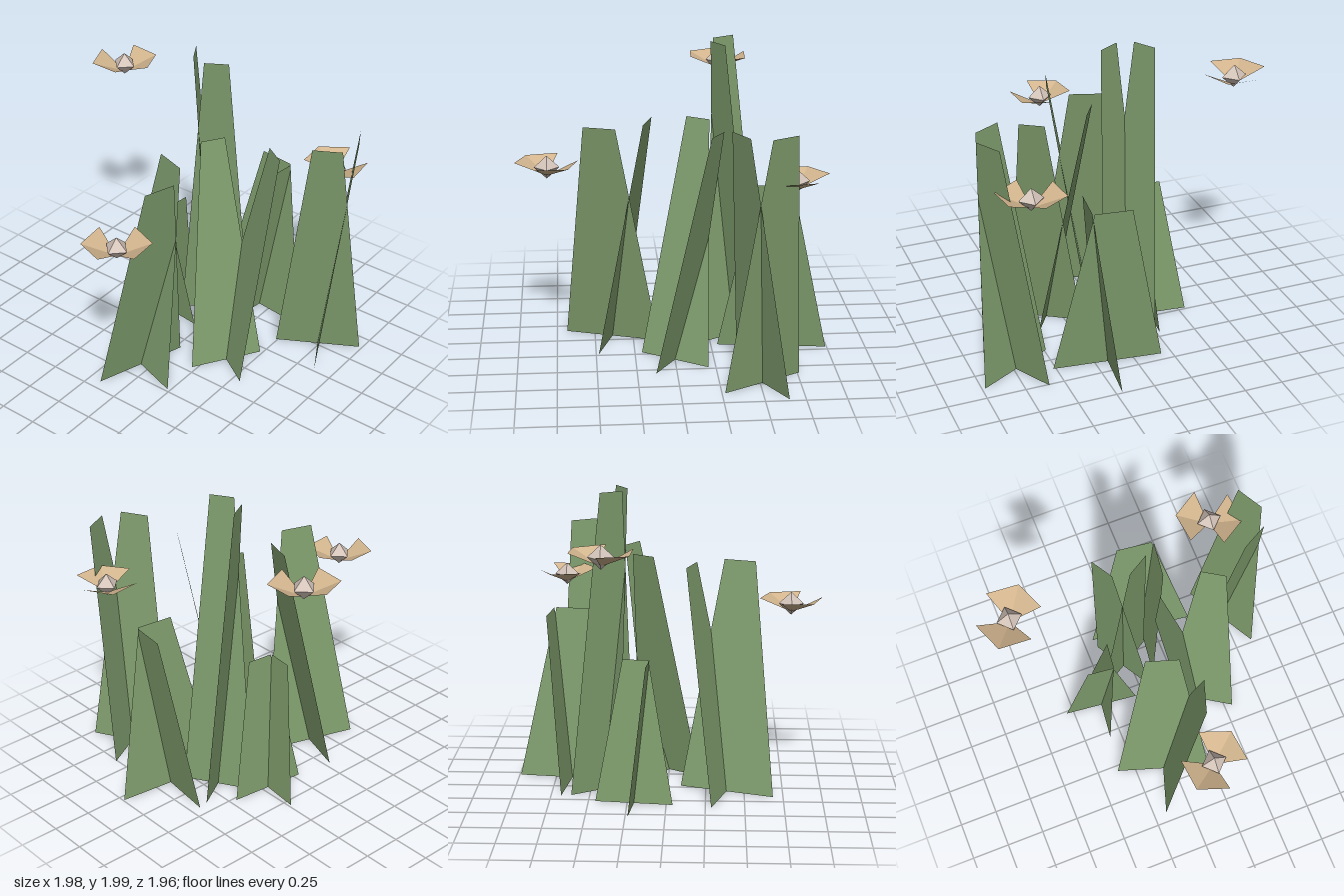
import * as THREE from 'three';

const grass = new THREE.MeshStandardMaterial({ color: 0x809e6e, flatShading: true, side: THREE.DoubleSide });
const wingMat = new THREE.MeshStandardMaterial({ color: 0xd2b58e, flatShading: true, side: THREE.DoubleSide });
const bodyMat = new THREE.MeshStandardMaterial({ color: 0xd6c6bc, flatShading: true });

function surface(points, index) {
  const g = new THREE.BufferGeometry();
  g.setAttribute('position', new THREE.Float32BufferAttribute(points.flat(), 3));
  g.setIndex(index);
  g.computeVertexNormals();
  return g;
}

// Tapered blade along (dx, dz), leaning sideways by (lx, lz); the tip is a third of the base width
function blade(dx, dz, lx, lz, width, height) {
  const b = width / 2, t = width / 6;
  const geo = surface([
    [-dx * b, 0, -dz * b], [dx * b, 0, dz * b],
    [lx + dx * t, height, lz + dz * t], [lx - dx * t, height, lz - dz * t],
  ], [0, 1, 2, 0, 2, 3]);
  const mesh = new THREE.Mesh(geo, grass);
  mesh.name = 'grassBlade';
  return mesh;
}

// Two crossed blades, each leaning along the other's direction
function tuft({ x, z, dir, sides, width, lean, height }) {
  const g = new THREE.Group();
  g.name = 'grassTuft';
  const len = Math.hypot(dir[0], dir[1]);
  const ux = dir[0] / len, uz = dir[1] / len, vx = -uz, vz = ux;
  const a = sides[0] * lean, b = sides[1] * lean;
  g.add(blade(vx, vz, ux * a, uz * a, width, height));
  g.add(blade(ux, uz, vx * b, vz * b, width, height));
  g.position.set(x, 0, z);
  return g;
}

// Faceted body with two folded wings rising outward
function flyer({ x, y, z, dir }) {
  const g = new THREE.Group();
  g.name = 'butterfly';
  const body = new THREE.Mesh(new THREE.OctahedronGeometry(0.08), bodyMat);
  body.scale.y = 0.93;
  body.name = 'body';
  g.add(body);
  const yaw = Math.atan2(-dir[1], dir[0]);
  for (const turn of [0, Math.PI]) {
    const wing = new THREE.Mesh(surface([
      [0, -0.055, 0], [0.107, 0.037, 0.172], [0.215, 0.032, 0], [0.107, 0.037, -0.172],
    ], [0, 1, 2, 0, 2, 3]), wingMat);
    wing.rotation.y = yaw + turn;
    wing.name = 'wing';
    g.add(wing);
  }
  g.position.set(x, y, z);
  return g;
}

export function createModel() {
  const model = new THREE.Group();
  model.name = 'grassWithButterflies';

  // sides: which way the two blades lean, along dir and along its perpendicular
  const tufts = [
    { x: -0.385, z: -0.068, dir: [0.95, 0.31], sides: [1, 1], width: 0.63, lean: 0.245, height: 1.49 },
    { x: 0.207, z: -0.3, dir: [0.99, 0.11], sides: [-1, 1], width: 0.5, lean: 0.09, height: 0.925 },
    { x: 0.42, z: -0.05, dir: [0.86, -0.51], sides: [-1, -1], width: 0.465, lean: 0.152, height: 1.985 },
    { x: 0.642, z: 0.167, dir: [0.99, 0.12], sides: [1, 1], width: 0.705, lean: 0.13, height: 1.135 },
    { x: 0, z: 0.35, dir: [0.84, 0.54], sides: [1, -1], width: 0.485, lean: 0.295, height: 1.53 },
    { x: 0.515, z: 0.735, dir: [0.875, -0.48], sides: [-1, 1], width: 0.56, lean: 0.185, height: 1.615 },
  ];
  for (const t of tufts) model.add(tuft(t));

  const flyers = [
    { x: 0.365, y: 1.7, z: -0.775, dir: [-0.165, -0.12] },
    { x: -0.79, y: 1.225, z: 0.095, dir: [-0.145, -0.185] },
    { x: 0.705, y: 1.283, z: 0.675, dir: [0.09, -0.185] },
  ];
  for (const f of flyers) model.add(flyer(f));

  return model;
}
